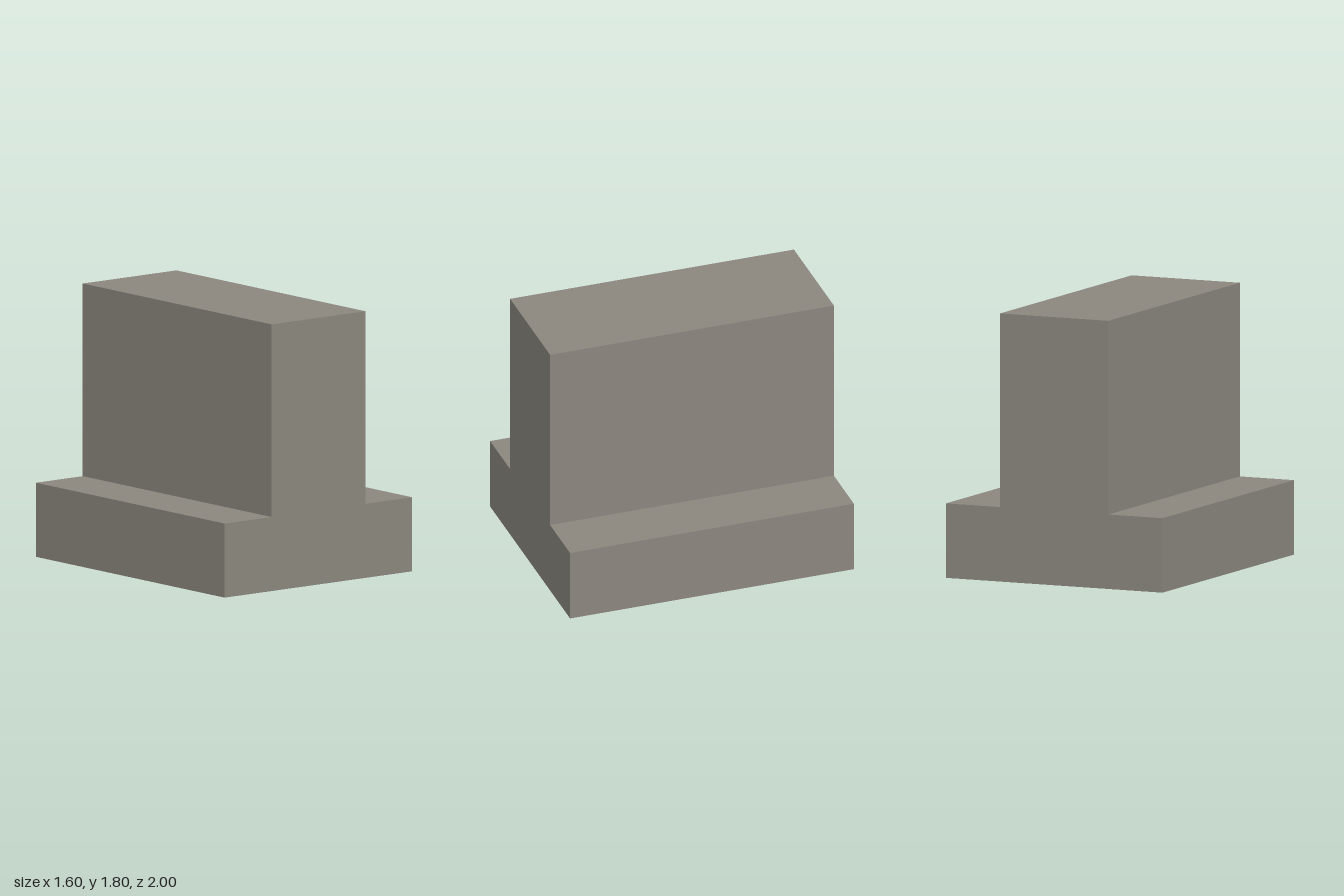
import * as THREE from 'three';

export function createModel() {
  const group = new THREE.Group();
  group.name = 'steppedBlock';

  const stone = new THREE.MeshStandardMaterial({ color: 0x8b877e });
  stone.name = 'warm grey';

  // Inverted T section: wide foot with an upright wall
  const section = new THREE.Shape([
    [-0.8, 0], [0.8, 0], [0.8, 0.5], [0.4, 0.5],
    [0.4, 1.8], [-0.4, 1.8], [-0.4, 0.5], [-0.8, 0.5],
  ].map(([x, y]) => new THREE.Vector2(x, y)));

  // Run the section along z, centred
  const length = 2;
  const geometry = new THREE.ExtrudeGeometry(section, { depth: length, bevelEnabled: false });
  geometry.translate(0, 0, -length / 2);

  const block = new THREE.Mesh(geometry, stone);
  block.name = 'footAndWall';
  group.add(block);
  return group;
}
